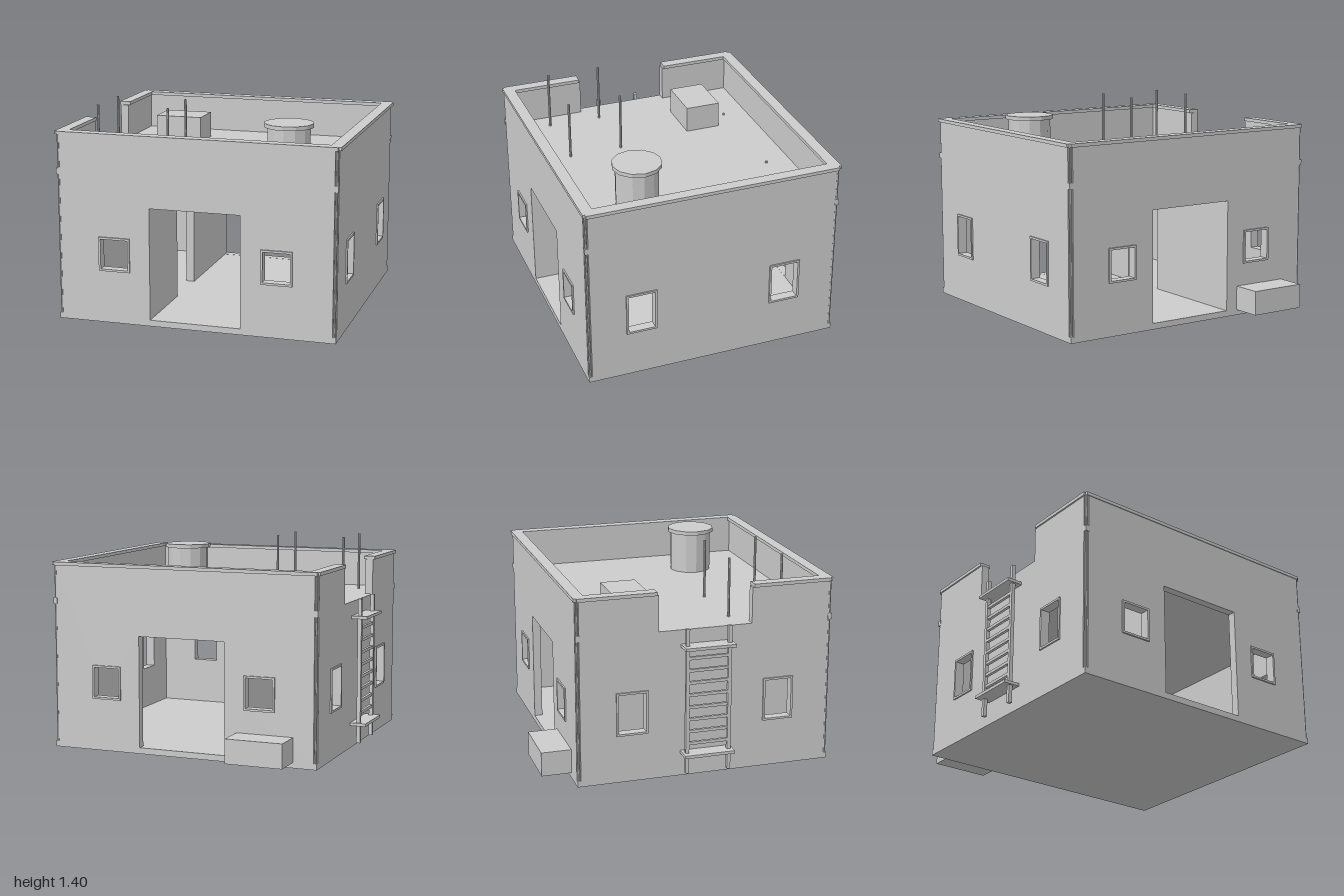
import * as THREE from 'three';

const X0 = -0.89, X1 = 0.985, Z0 = -0.77, Z1 = 0.96; // outer wall faces
const T = 0.055, NOTCH = 0.022;                      // wall thickness, corner notch
const FLOOR = 0.04, CEILING = 0.8, ROOF = 1.0, TOP = 1.24, CAP = 1.263;

export function createModel() {
  const model = new THREE.Group();
  const plaster = new THREE.MeshStandardMaterial({ color: 0xcccccc });
  plaster.name = 'plaster';

  const add = (name, geometry, parent = model) => {
    const mesh = new THREE.Mesh(geometry, plaster);
    mesh.name = name;
    parent.add(mesh);
    return mesh;
  };
  // box from its lower and upper limits
  const box = (name, x0, x1, y0, y1, z0, z1, parent) => {
    const g = new THREE.BoxGeometry(x1 - x0, y1 - y0, z1 - z0);
    g.translate((x0 + x1) / 2, (y0 + y1) / 2, (z0 + z1) / 2);
    return add(name, g, parent);
  };
  const rod = (name, x, z, y0, y1, r, sides = 8, parent = model) => {
    const g = new THREE.CylinderGeometry(r, r, y1 - y0, sides).toNonIndexed();
    g.computeVertexNormals();
    g.translate(x, (y0 + y1) / 2, z);
    return add(name, g, parent);
  };
  // upright plate with rectangular holes [u0, u1, y0, y1]
  const plate = (u0, u1, y0, y1, holes, depth) => {
    const corners = ([a, b, c, d]) => [[a, c], [b, c], [b, d], [a, d]].map(p => new THREE.Vector2(...p));
    const shape = new THREE.Shape(corners([u0, u1, y0, y1]));
    holes.forEach(h => shape.holes.push(new THREE.Path(corners(h).reverse())));
    return new THREE.ExtrudeGeometry(shape, { depth, bevelEnabled: false });
  };
  const placeX = (geometry, x, depth) => geometry.rotateY(-Math.PI / 2).translate(x + depth, 0, 0);

  // floor and roof slabs
  box('floorSlab', X0, X1, 0, FLOOR, Z0, Z1);
  box('roofSlab', X0 + 0.03, X1 - 0.03, CEILING, ROOF, Z0 + 0.03, Z1 - 0.03);

  // front and back walls: doorway and two windows each
  const endWindows = [[-0.59, -0.405, 0.365, 0.565], [0.505, 0.685, 0.365, 0.565]];
  const doorway = [-0.255, 0.355, FLOOR + 0.001, 0.79];
  const F = 0.014, OUT = 0.01; // window frame width and projection
  const frame = ([a, b, c, d]) => plate(a - F, b + F, c - F, d + F, [[a, b, c, d]], OUT + 0.01);
  for (const [name, z, frameZ] of [['front', Z1 - T, Z1 - 0.01], ['back', Z0, Z0 - OUT]]) {
    const g = plate(X0 + NOTCH, X1 - NOTCH, FLOOR, TOP, [doorway, ...endWindows], T);
    add(name + 'Wall', g.translate(0, 0, z));
    endWindows.forEach(w => add(name + 'WindowFrame', frame(w).translate(0, 0, frameZ)));
  }

  // side walls: two windows each, the right-hand one opened at roof level for the ladder
  const sideWindows = [[0.505, 0.685, 0.335, 0.6], [-0.495, -0.31, 0.335, 0.6]];
  const GAP0 = -0.225, GAP1 = 0.405;
  for (const [name, x, frameX, top] of [['left', X1 - T, X1 - 0.01, TOP], ['right', X0, X0 - OUT, ROOF]]) {
    const g = plate(Z0 + NOTCH, Z1 - NOTCH, FLOOR, top, sideWindows, T);
    add(name + 'Wall', placeX(g, x, T));
    sideWindows.forEach(w => add(name + 'WindowFrame', placeX(frame(w), frameX, OUT + 0.01)));
  }
  box('rightParapetBack', X0, X0 + T, ROOF, TOP, Z0 + NOTCH, GAP0);
  box('rightParapetFront', X0, X0 + T, ROOF, TOP, GAP1, Z1 - NOTCH);

  // coping on the parapet
  const E = 0.01, W = 0.077;
  box('frontCoping', X0 - E + 0.015, X1 + E - 0.015, TOP, CAP, Z1 + E - 0.005 - W, Z1 + E - 0.005);
  box('backCoping', X0 - E + 0.015, X1 + E - 0.015, TOP, CAP, Z0 - E, Z0 - E + W);
  box('leftCoping', X1 + E + 0.004 - W, X1 + E + 0.004, TOP, CAP, Z0 + 0.01, Z1 - 0.01);
  box('rightCopingBack', X0 - E, X0 - E + W, TOP, CAP, Z0 + 0.01, GAP0 - 0.01);
  box('rightCopingFront', X0 - E, X0 - E + W, TOP, CAP, GAP1 + 0.01, Z1 - 0.01);

  // drainpipes in the corner notches, with a collar at roof level
  for (const x of [X0 + 0.012, X1 - 0.012]) for (const z of [Z0 + 0.012, Z1 - 0.012]) {
    rod('drainPipe', x, z, FLOOR, CAP - 0.003, 0.009);
    box('pipeCollar', x - 0.014, x + 0.014, 0.98, 1.02, z - 0.014, z + 0.014);
  }

  // inner partition with a passage between its two halves
  box('partitionFront', -0.315, -0.256, FLOOR, CEILING, 0.4, Z1 - T);
  box('partitionBack', -0.315, -0.256, FLOOR, CEILING, Z0 + T, 0.035);

  // water tank with lid
  rod('waterTank', 0.54, 0.46, ROOF, 1.28, 0.145, 12);
  rod('tankLid', 0.54, 0.46, 1.28, 1.307, 0.165, 12);

  // roof box, poles and pipe stubs
  box('roofBox', -0.61, -0.28, ROOF, 1.18, -0.445, -0.205);
  for (const x of [-0.705, -0.22]) for (const z of [0.31, 0.675]) rod('roofPole', x, z, ROOF, 1.397, 0.009);
  for (const x of [-0.425, 0.34]) rod('pipeStub', x, -0.545, ROOF, 1.012, 0.009);

  // step block behind the building
  box('backBlock', -0.73, -0.34, 0.037, 0.2, -0.97, Z0 + 0.01);

  // ladder on the right side with two bracket plates
  const ladder = new THREE.Group();
  ladder.name = 'ladder';
  model.add(ladder);
  for (const z of [-0.05, 0.235]) box('ladderRail', -0.956, -0.93, 0.035, 1.02, z - 0.012, z + 0.012, ladder);
  for (let i = 0; i < 8; i++) {
    const y = 0.24 + i * 0.083;
    box('ladderRung', -0.953, -0.933, y - 0.01, y + 0.01, -0.045, 0.23, ladder);
  }
  for (const y of [0.165, 0.895]) box('ladderBracket', -1, X0 + 0.005, y - 0.01, y + 0.01, -0.078, 0.262, ladder);

  return model;
}
